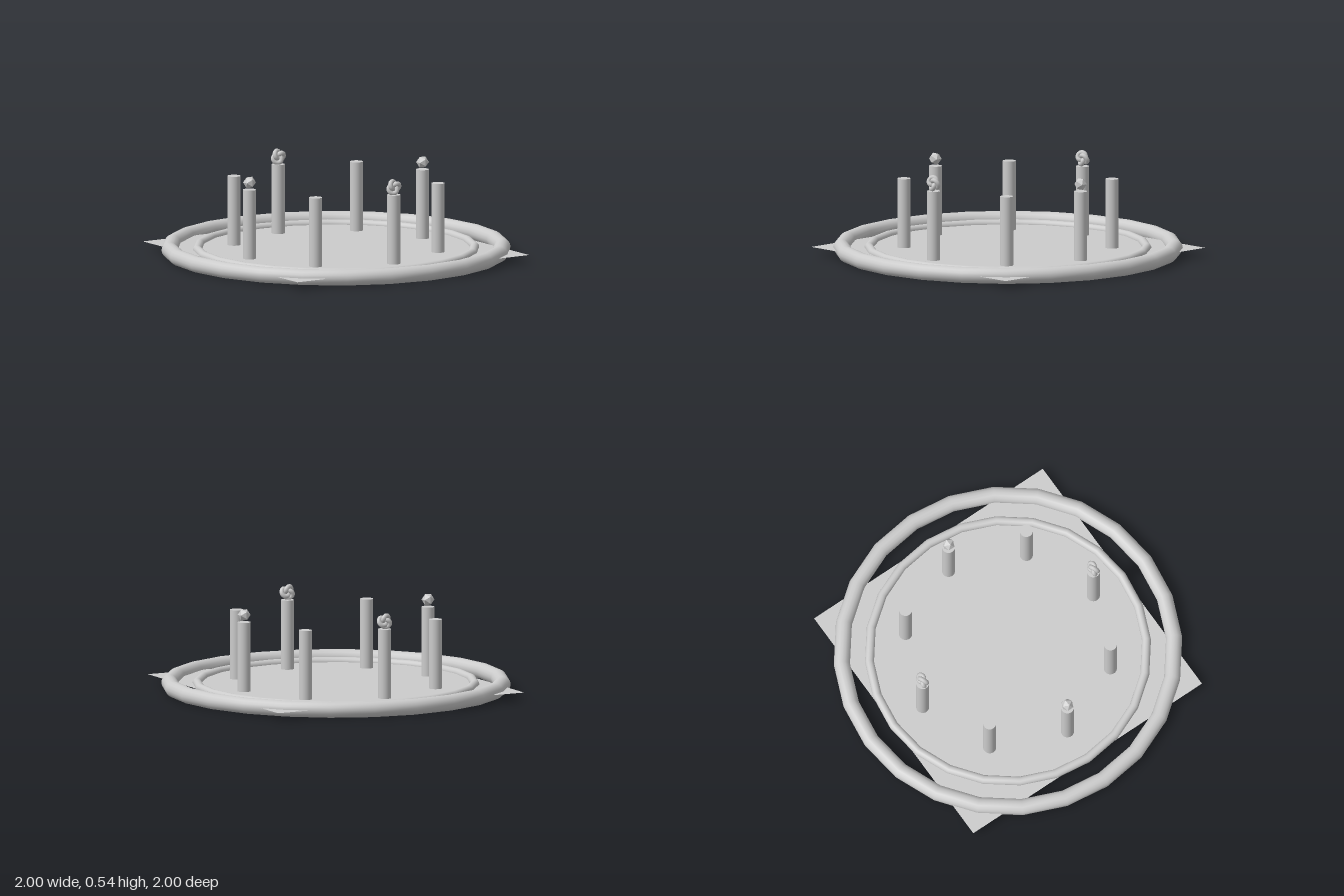
import * as THREE from 'three';

const MID = 0.0465; // height of the floor and of both ring centres
const POST_HEIGHT = 0.4;
const POST_CIRCLE = 0.595;

export function createModel() {
  const group = new THREE.Group();
  const smooth = new THREE.MeshStandardMaterial({ color: 0xcccccc });
  const faceted = new THREE.MeshStandardMaterial({ color: 0xcccccc, flatShading: true });
  const sheet = new THREE.MeshStandardMaterial({ color: 0xcccccc, side: THREE.DoubleSide });

  function add(name, geometry, material, x, y, z) {
    const mesh = new THREE.Mesh(geometry, material);
    mesh.name = name;
    mesh.position.set(x, y, z);
    group.add(mesh);
    return mesh;
  }

  // Thin square floor
  add('floor', new THREE.PlaneGeometry(1.594, 1.594).rotateX(-Math.PI / 2), sheet, 0, MID, 0);

  // Two concentric rings lying flat, 24 sides around
  add('outerRing', new THREE.TorusGeometry(0.9535, 0.0465, 16, 24).rotateX(Math.PI / 2), smooth, 0, MID, 0);
  add('innerRing', new THREE.TorusGeometry(0.795, 0.026, 16, 24).rotateX(Math.PI / 2), smooth, 0, MID, 0);

  // Eight posts in a circle; every other one carries an ornament
  const post = new THREE.CylinderGeometry(0.0375, 0.0375, POST_HEIGHT, 32);
  const gem = new THREE.IcosahedronGeometry(0.037, 0);
  const knot = new THREE.TorusKnotGeometry(0.0238, 0.0138, 64, 8);
  for (let i = 0; i < 8; i++) {
    const angle = (i * Math.PI) / 4;
    const x = POST_CIRCLE * Math.cos(angle);
    const z = POST_CIRCLE * Math.sin(angle);
    add('post' + (i + 1), post, smooth, x, MID + POST_HEIGHT / 2, z);
    // Gems on the left and right posts, knots on the front and back posts
    if (i % 4 === 0) add('gem', gem, faceted, x, 0.488, z);
    if (i % 4 === 2) add('knot', knot, smooth, x, 0.49, z);
  }

  return group;
}
